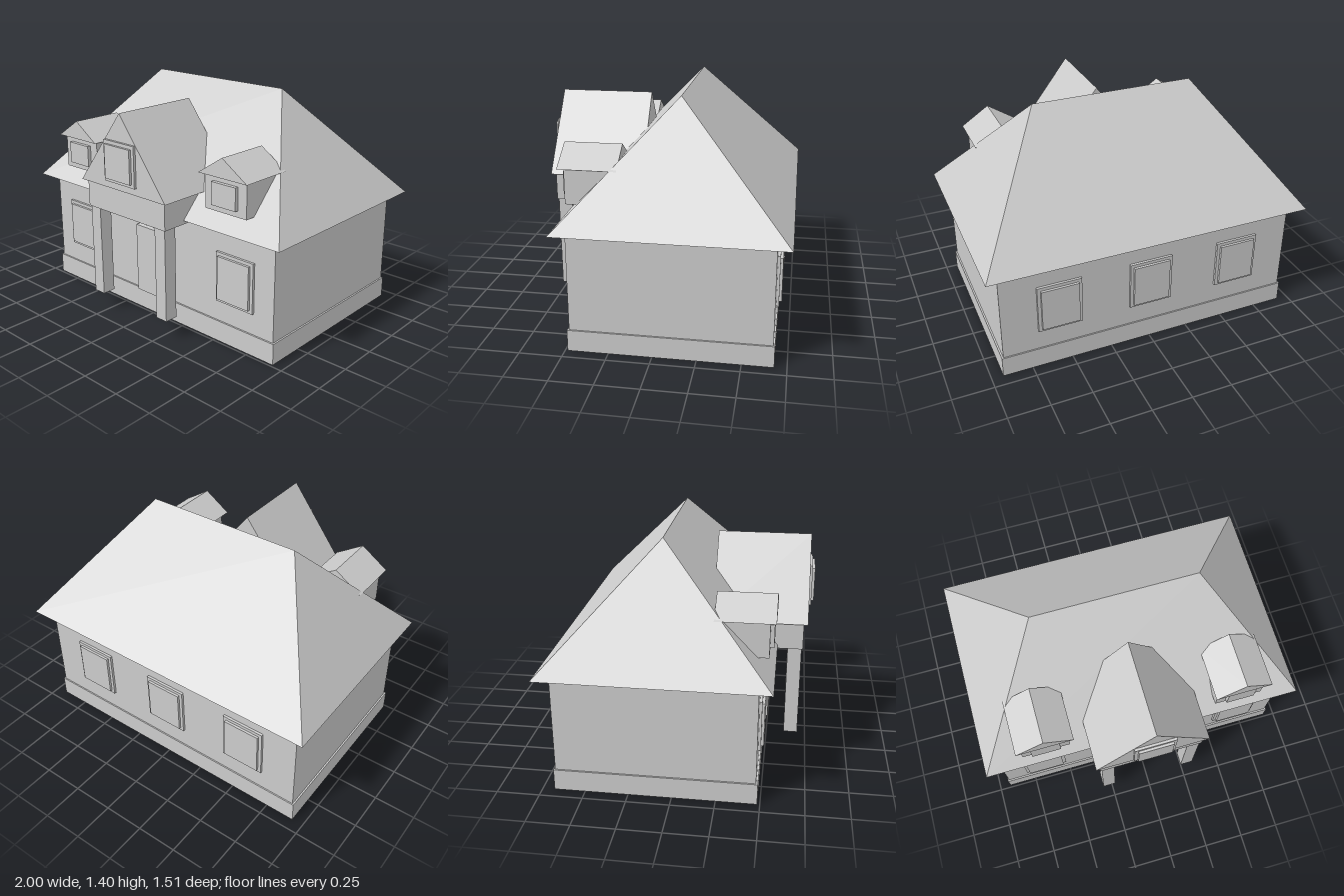
import * as THREE from 'three';

export function createModel() {
  const house = new THREE.Group();
  house.name = 'house';
  const plaster = new THREE.MeshStandardMaterial({ color: 0xcccccc });
  plaster.name = 'plain light grey';

  const add = (name, geometry, parent = house) => {
    const mesh = new THREE.Mesh(geometry, plaster);
    mesh.name = name;
    parent.add(mesh);
    return mesh;
  };

  // Box given by its limits on each axis
  const block = (name, [x0, x1], [y0, y1], [z0, z1], parent) => {
    const mesh = add(name, new THREE.BoxGeometry(x1 - x0, y1 - y0, z1 - z0), parent);
    mesh.position.set((x0 + x1) / 2, (y0 + y1) / 2, (z0 + z1) / 2);
    return mesh;
  };

  // Gabled roof: triangular prism running along z
  const gable = (name, halfWidth, [y0, y1], [z0, z1], parent) => {
    const shape = new THREE.Shape();
    shape.moveTo(-halfWidth, y0).lineTo(halfWidth, y0).lineTo(0, y1).closePath();
    const geometry = new THREE.ExtrudeGeometry(shape, { depth: z1 - z0, bevelEnabled: false });
    geometry.translate(0, 0, z0);
    return add(name, geometry, parent);
  };

  // Window facing +z: a frame slab with a smaller raised pane
  const frameWindow = (name, width, height, border, x, y, z) => {
    const group = new THREE.Group();
    group.name = name;
    const w = width / 2, h = height / 2;
    block('windowFrame', [-w, w], [-h, h], [0, 0.015], group);
    block('windowPane', [border - w, w - border], [border - h, h - border], [0.01, 0.03], group);
    group.position.set(x, y, z);
    house.add(group);
    return group;
  };

  // Base and walls
  block('foundation', [-0.93, 0.93], [0, 0.128], [-0.68, 0.485]);
  block('walls', [-0.92, 0.92], [0.128, 0.715], [-0.672, 0.475]);

  // Hipped main roof: a box whose top is drawn in to the ridge
  const eaveBack = -0.755, eaveFront = 0.553, ridgeZ = -0.1;
  const roof = new THREE.BoxGeometry(2, 0.685, eaveFront - eaveBack).toNonIndexed();
  roof.translate(0, 0.715 + 0.685 / 2, (eaveFront + eaveBack) / 2);
  const p = roof.attributes.position;
  for (let i = 0; i < p.count; i++) {
    if (p.getY(i) > 1) p.setXYZ(i, Math.sign(p.getX(i)) * 0.5, 1.4, ridgeZ);
  }
  roof.computeVertexNormals();
  add('mainRoof', roof);

  // Porch: lintel, gable, columns and door
  block('porchBeam', [-0.323, 0.323], [0.693, 0.86], [0.3, 0.702]);
  gable('porchGable', 0.352, [0.86, 1.315], [0.163, 0.725]);
  frameWindow('gableWindow', 0.25, 0.246, 0.021, 0, 1.027, 0.725);
  block('door', [-0.127, 0.127], [0.128, 0.563], [0.47, 0.505]);

  for (const side of [-1, 1]) {
    const label = side > 0 ? 'left' : 'right';
    const c = side * 0.274;
    block(label + 'Column', [c - 0.04, c + 0.04], [0.128, 0.693], [0.612, 0.695]);
    frameWindow(label + 'FrontWindow', 0.268, 0.305, 0.02, side * 0.648, 0.411, 0.475);

    // Dormer set into the front slope
    const dormer = new THREE.Group();
    dormer.name = label + 'Dormer';
    block('dormerWalls', [-0.147, 0.147], [0.818, 1.026], [0.23, 0.517], dormer);
    gable('dormerRoof', 0.173, [1.026, 1.14], [0.215, 0.55], dormer);
    block('dormerWindow', [-0.087, 0.087], [0.856, 0.99], [0.51, 0.54], dormer);
    dormer.position.x = side * 0.606;
    house.add(dormer);
  }

  // Row of windows on the back wall
  for (const x of [-0.57, 0, 0.57]) {
    frameWindow('backWindow', 0.268, 0.305, 0.02, x, 0.411, -0.672).rotation.y = Math.PI;
  }

  return house;
}
